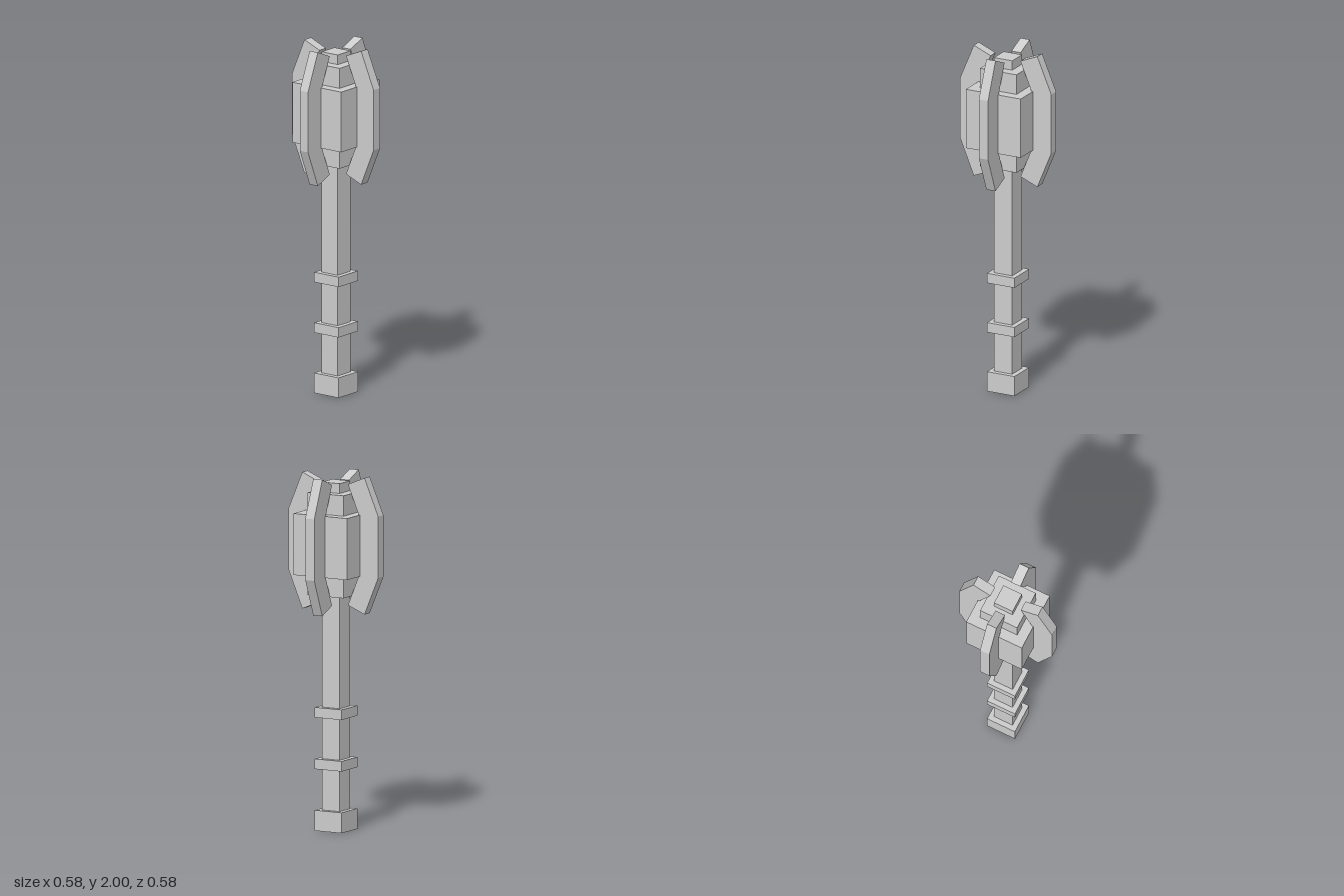
import * as THREE from 'three';

export function createModel() {
  const model = new THREE.Group();
  model.name = 'mace';
  const stone = new THREE.MeshStandardMaterial({ color: 0xcccccc, flatShading: true });
  stone.name = 'light grey';

  // Square block centred on the axis, from height y0 to y1
  function block(name, width, y0, y1) {
    const mesh = new THREE.Mesh(new THREE.BoxGeometry(width, y1 - y0, width), stone);
    mesh.name = name;
    mesh.position.y = (y0 + y1) / 2;
    model.add(mesh);
  }

  // Handle
  block('pommel', 0.173, 0, 0.115);
  block('shaft', 0.115, 0.115, 1.96);
  block('lowerGripRing', 0.173, 0.347, 0.404);
  block('upperGripRing', 0.173, 0.637, 0.694);

  // Stepped head
  block('headCollar', 0.23, 1.328, 1.905);
  block('headCore', 0.345, 1.444, 1.79);

  // Four bent flanges around the head
  const thickness = 0.058;
  const outline = [
    [0.2, 1.232], [0.288, 1.444], [0.288, 1.79], [0.2, 2],
    [0.094, 1.956], [0.172, 1.768], [0.172, 1.466], [0.094, 1.276],
  ].map(([x, y]) => new THREE.Vector2(x, y));
  const flangeGeometry = new THREE.ExtrudeGeometry(new THREE.Shape(outline), {
    depth: thickness, bevelEnabled: false,
  });
  flangeGeometry.translate(0, 0, -thickness / 2);
  ['left', 'back', 'right', 'front'].forEach((side, i) => {
    const flange = new THREE.Mesh(flangeGeometry, stone);
    flange.name = side + 'Flange';
    flange.rotation.y = i * Math.PI / 2;
    model.add(flange);
  });

  return model;
}
